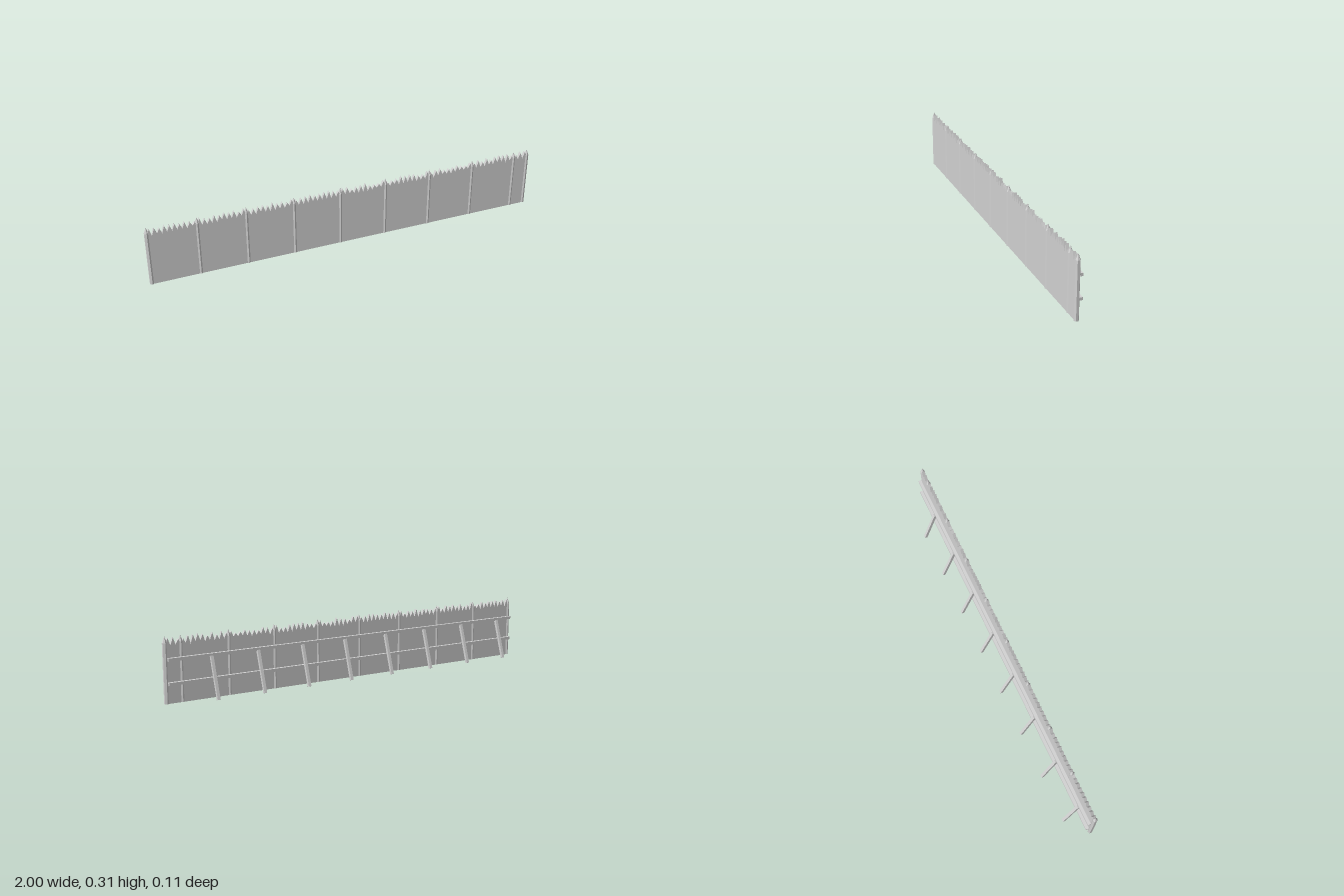
import * as THREE from 'three';

const STEP = 0.0238; // width of one stake
const BAY = STEP * 10; // distance between posts
const START = -0.99;
const END = 0.99;
const WALL_Z = 0.0452;

export function createModel() {
  const model = new THREE.Group();
  model.name = 'palisadeFence';
  const wood = new THREE.MeshStandardMaterial({ color: 0xd2d2d2, flatShading: true });
  wood.name = 'pale grey wood';

  const add = (name, geometry, x, y, z) => {
    const mesh = new THREE.Mesh(geometry, wood);
    mesh.name = name;
    mesh.position.set(x, y, z);
    model.add(mesh);
    return mesh;
  };

  let seed = 7;
  const random = () => {
    seed = (seed * 16807) % 2147483647;
    return seed / 2147483647;
  };

  // Stake wall: one sheet per bay with a ragged row of pointed tops
  const depth = 0.015;
  const wallBay = (x0, x1) => {
    const count = Math.round((x1 - x0) / STEP);
    const w = (x1 - x0) / count;
    const shape = new THREE.Shape();
    shape.moveTo(x0, 0);
    shape.lineTo(x1, 0);
    shape.lineTo(x1, 0.275);
    for (let i = count - 1; i >= 0; i--) {
      shape.lineTo(x0 + (i + 0.5) * w, 0.292 + random() * 0.018);
      shape.lineTo(x0 + i * w, 0.266 + random() * 0.012);
    }
    const geometry = new THREE.ExtrudeGeometry(shape, { depth, bevelEnabled: false });
    add('stakeWall', geometry, 0, 0, WALL_Z - depth / 2);
  };

  // Pointed six-sided posts
  const radius = 0.0118;
  const profile = [[0, 0], [radius, 0], [radius, 0.283], [0, 0.314]]
    .map(([r, y]) => new THREE.Vector2(r, y));
  const postGeometry = new THREE.LatheGeometry(profile, 6);
  const posts = [];
  for (let i = 0; i < 9; i++) posts.push(START + i * BAY);
  posts.push(END);
  posts.forEach((x, i) => {
    add('post', postGeometry, x, 0, WALL_Z);
    if (i > 0) wallBay(posts[i - 1], x);
  });

  // Two long rails behind the wall
  const railGeometry = new THREE.BoxGeometry(1.976, 0.0145, 0.0145);
  for (const y of [0.095, 0.208]) add('rail', railGeometry, -0.003, y, 0.0228);

  // Slanted braces leaning against the upper rail
  const top = new THREE.Vector2(0.0165, 0.204);
  const foot = new THREE.Vector2(-0.0488, 0.009);
  const braceGeometry = new THREE.BoxGeometry(0.014, top.distanceTo(foot), 0.014);
  for (let i = 0; i < 8; i++) {
    const brace = add('brace', braceGeometry, -0.891 + i * BAY,
      (top.y + foot.y) / 2, (top.x + foot.x) / 2);
    brace.rotation.x = Math.atan2(top.x - foot.x, top.y - foot.y);
  }

  return model;
}
